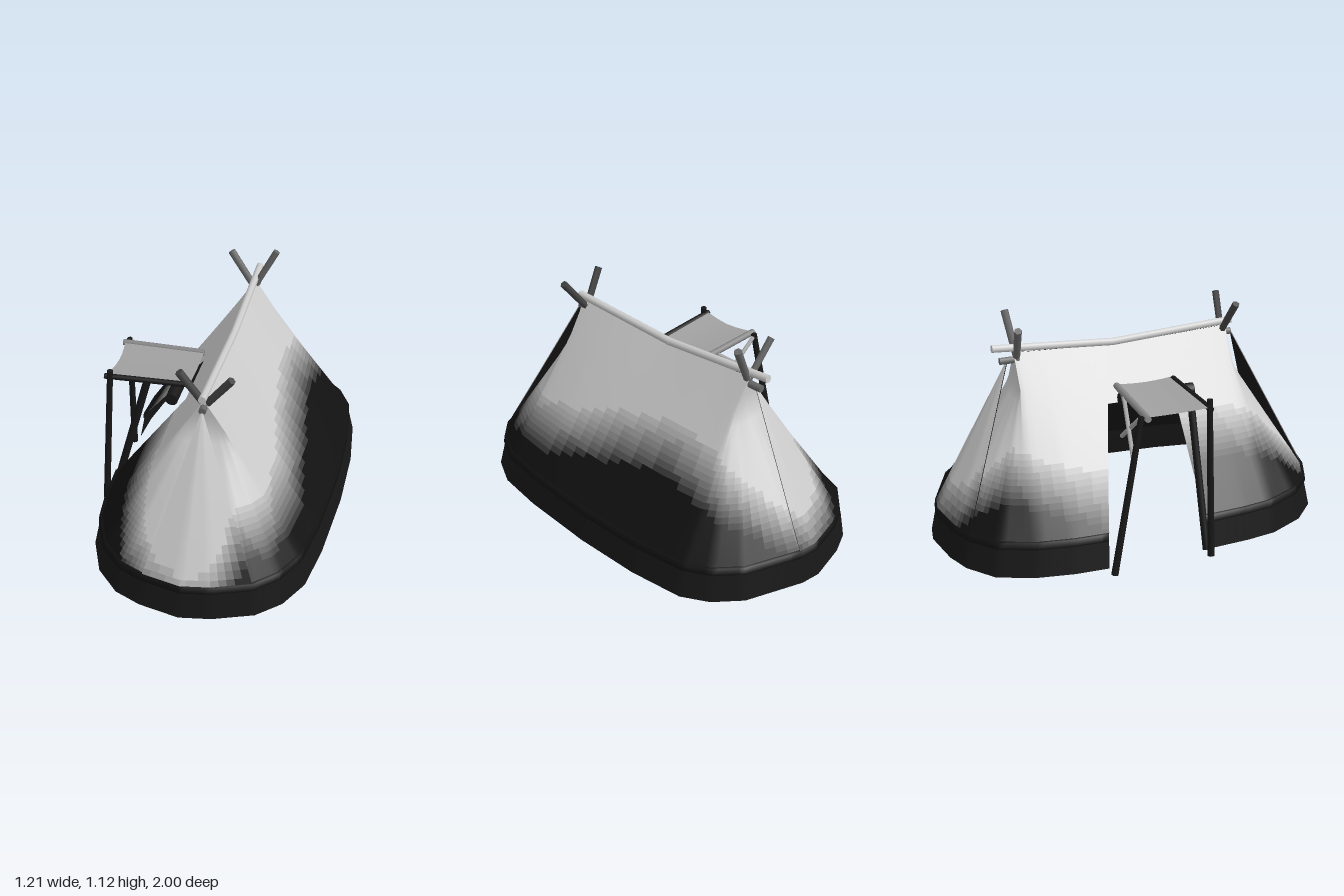
import * as THREE from 'three';

const LIGHT = 0xcccccc, MID = 0x686868, DARK = 0x171717, BLACK = 0x111111;
const material = (color) => new THREE.MeshStandardMaterial({ color, side: THREE.DoubleSide });

// Cloth shades from weathered dark to clean
const STEPS = 12;
const shades = Array.from({ length: STEPS }, (_, k) => material(
  new THREE.Color(BLACK).lerp(new THREE.Color(LIGHT), (k / (STEPS - 1)) ** 1.2)));
const lining = material(DARK);

// Ground outline of the cloth, from one side of the doorway round to the other:
// [x, z, height up to which the cloth is darkened]
const outline = [
  [-0.56, 0.23, 0.45], [-0.55, 0.45, 0.45], [-0.53, 0.6, 0.42], [-0.45, 0.78, 0.35], [-0.33, 0.9, 0.22],
  [-0.2, 0.955, 0.12], [0, 0.995, 0.05], [0.15, 0.97, 0.08], [0.34, 0.9, 0.32], [0.45, 0.8, 0.3],
  [0.53, 0.65, 0.32], [0.57, 0.4, 0.33], [0.6, 0, 0.44], [0.6, -0.35, 0.5], [0.57, -0.63, 0.45],
  [0.5, -0.76, 0.4], [0.38, -0.87, 0.36], [0.1, -0.985, 0.2], [0, -1, 0.15], [-0.2, -0.96, 0.2],
  [-0.32, -0.91, 0.3], [-0.45, -0.8, 0.38], [-0.52, -0.62, 0.35], [-0.55, -0.45, 0.3], [-0.56, -0.28, 0.25],
];
const RIDGE_X = 0.02, BAND_Y = 0.18, DOOR_Y = 0.68, PER_SIDE = 5;
const last = outline.length - 1;

// Column positions from one outline point to another
const levels = (from, to, n) => Array.from({ length: n + 1 }, (_, k) => from + ((to - from) * k) / n);
const columns = (from, to) => levels(from, to, (to - from) * PER_SIDE);

// Outline at a fractional position
function at(i) {
  const k = Math.min(Math.floor(i), last - 1);
  return outline[k].map((v, n) => v + (outline[k + 1][n] - v) * (i - k));
}

// Foot of the wall, at the top of the skirt
function wallFoot(i) {
  const [x, z] = at(i);
  return [x * 0.94, z * 0.965];
}

// Point on the cloth wall: straight in x, pulled in faster in z towards the ends
function wallPoint(i, y) {
  const [x, z] = wallFoot(i);
  const doorLean = 0.16 * Math.max(0, i - last + 1);
  const rz = THREE.MathUtils.clamp(z * 0.88, -0.55, 0.55) + doorLean;
  const top = 0.915 + 0.025 * Math.min(1, Math.abs(rz) / 0.55);
  const yy = Math.min(y, top);
  const fx = (yy - BAND_Y) / (top - BAND_Y);
  const fz = Math.abs(z) > 0.55 ? Math.min(1, (yy - BAND_Y) / 0.6) : fx;
  return [x + (RIDGE_X - x) * fx, yy, z + (rz - z) * fz];
}

// Lofted geometry through rows of points, cells grouped by shade
function loft(rows, shadeOf = () => 0) {
  const n = rows[0].length, buckets = shades.map(() => []);
  for (let r = 0; r < rows.length - 1; r++)
    for (let c = 0; c < n - 1; c++) {
      const a = r * n + c, b = a + 1, d = a + n, e = d + 1;
      buckets[shadeOf((rows[r][c][1] + rows[r + 1][c][1]) / 2, c)].push(a, b, e, a, e, d);
    }
  const g = new THREE.BufferGeometry();
  g.setAttribute('position', new THREE.Float32BufferAttribute(rows.flat(2), 3));
  g.setIndex(buckets.flat());
  let start = 0;
  buckets.forEach((list, k) => {
    if (list.length) g.addGroup(start, list.length, k);
    start += list.length;
  });
  g.computeVertexNormals();
  return g;
}

function mesh(name, geometry, mat) {
  const m = new THREE.Mesh(geometry, mat);
  m.name = name;
  return m;
}

// Cloth with a weathered outside and a dark lining set just inside it
function cloth(name, rows, cols) {
  const outside = loft(rows, (y, c) => {
    const stain = at((cols[c] + cols[c + 1]) / 2)[2];
    return Math.round(THREE.MathUtils.clamp((y - stain + 0.05) / 0.25, 0, 1) * (STEPS - 1));
  });
  const nor = outside.attributes.normal;
  const inside = loft(rows.map((row, r) => row.map(([x, y, z], c) => {
    const k = r * row.length + c;
    return [x - nor.getX(k) * 0.004, y - nor.getY(k) * 0.004, z - nor.getZ(k) * 0.004];
  }).reverse()));
  const group = new THREE.Group();
  group.name = name;
  group.add(mesh(name + 'Outside', outside, shades), mesh(name + 'Lining', inside, lining));
  return group;
}

// Round timber between two points
function pole(name, a, b, color, r0 = 0.018, r1 = r0, sides = 8) {
  const A = new THREE.Vector3(...a), B = new THREE.Vector3(...b);
  const dir = B.clone().sub(A);
  const m = mesh(name, new THREE.CylinderGeometry(r1, r0, dir.length(), sides), material(color));
  m.position.copy(A).add(B).multiplyScalar(0.5);
  m.quaternion.setFromUnitVectors(new THREE.Vector3(0, 1, 0), dir.normalize());
  return m;
}

export function createModel() {
  const tent = new THREE.Group();
  tent.name = 'tent';
  const cols = columns(0, last);

  // Cloth walls and the piece above the doorway
  const doorToRidge = [DOOR_Y, 0.73, 0.78, 0.86, 1];
  const ys = [...levels(BAND_Y, DOOR_Y, 20), ...doorToRidge.slice(1)];
  tent.add(cloth('clothWalls', ys.map((y) => cols.map((i) => wallPoint(i, y))), cols));
  tent.add(cloth('doorwayHeader', doorToRidge.map((y) => [wallPoint(last, y), wallPoint(0, y)]), [last, last]));

  // Straight flaps laid over both ends
  for (const [name, s, e, dir] of [['frontFlap', 5, 8, 1], ['backFlap', 17, 20, -1]]) {
    const apex = [RIDGE_X, 0.91, 0.58 * dir], span = columns(s, e);
    const rows = levels(0, 0.98, 20).map((t) => span.map((i) => {
      const [x, z] = wallFoot(i);
      return [x * 1.008, BAND_Y, z * 1.008].map((v, k) => v + (apex[k] - v) * t);
    }));
    tent.add(cloth(name, rows, span));
  }

  // Skirt and the band above it
  const foot = cols.map((i) => { const [x, z] = at(i); return [x, 0.022, z]; });
  tent.add(mesh('skirt', loft([foot, cols.map((i) => wallPoint(i, BAND_Y))]), material(DARK)));
  const bandProfile = [[0.155, 0], [0.155, 0.013], [0.19, 0.008], [0.19, -0.012]];
  const bandRows = bandProfile.map(([y, off]) => cols.map((i) => {
    const [x, z] = wallFoot(i), l = Math.hypot(x, z);
    return [x + (x / l) * off, y, z + (z / l) * off];
  }));
  tent.add(mesh('band', loft(bandRows), material(BLACK)));

  // Sagging ridge pole in two lengths
  tent.add(pole('ridgePoleFront', [RIDGE_X, 0.96, 0.58], [RIDGE_X, 0.925, -0.05], LIGHT, 0.019));
  tent.add(pole('ridgePoleBack', [RIDGE_X, 0.925, -0.05], [RIDGE_X, 0.968, -0.655], LIGHT, 0.019));

  // Crossed pole tips, lashing stub and inner post at each end
  const ends = [
    { base: 0.525, tip: 0.555, foot: 0.55, head: 0.51, left: [0.15, 1.07], right: [-0.09, 1.08], out: 0.58, color: 0x444444 },
    { base: -0.53, tip: -0.558, foot: -0.48, head: -0.48, left: [0.125, 1.115], right: [-0.11, 1.09], out: -0.62, color: MID },
  ];
  for (const e of ends) {
    tent.add(pole('crossedPoleLeft', [-0.01, 0.86, e.base], [...e.left, e.tip], e.color, 0.017, 0.019, 6));
    tent.add(pole('crossedPoleRight', [0.05, 0.86, e.base], [...e.right, e.tip], e.color, 0.017, 0.019, 6));
    tent.add(pole('lashingStub', [RIDGE_X, 0.9, e.base * 0.9], [RIDGE_X, 0.9, e.out], MID));
    tent.add(pole('innerPost', [0.01, 0, e.foot], [0.02, 0.9, e.head], DARK, 0.021, 0.015));
  }

  // Awning cloth, sagging between its rails
  const awning = new THREE.Group();
  awning.name = 'awning';
  const grid = levels(0, 1, 6);
  const rows = grid.map((u) => grid.map((v) => {
    const sag = Math.sin(Math.PI * v);
    return [-0.55 + 0.41 * u + sag * 0.015 * (1 - u), 0.768 - 0.01 * sag, -0.09 + 0.3 * v];
  }));
  awning.add(mesh('awningCloth', loft(rows), material(0xa0a0a0)));
  awning.add(pole('awningRailBack', [-0.56, 0.762, -0.09], [-0.14, 0.762, -0.09], 0x888888, 0.016));
  awning.add(pole('awningRailFront', [-0.56, 0.762, 0.22], [-0.15, 0.762, 0.2], DARK, 0.014));
  awning.add(pole('awningBeam', [-0.21, 0.718, -0.1], [-0.21, 0.718, 0.28], DARK, 0.031, 0.031, 12));

  // Awning posts and slanting strut
  awning.add(pole('awningPostFront', [-0.59, 0.003, 0.23], [-0.528, 0.8, 0.225], DARK, 0.018, 0.015));
  awning.add(pole('awningPostBack', [-0.59, 0.003, -0.265], [-0.535, 0.77, -0.115], DARK, 0.018, 0.015));
  awning.add(pole('awningStrut', [-0.555, 0.02, 0.22], [-0.35, 0.755, 0.205], DARK, 0.019));

  // Crossed braces below the back rail
  awning.add(pole('braceDown', [-0.525, 0.755, -0.12], [-0.27, 0.555, -0.11], 0xaaaaaa, 0.011, 0.011, 6));
  awning.add(pole('braceUp', [-0.53, 0.55, -0.15], [-0.27, 0.755, -0.1], 0xaaaaaa, 0.011, 0.011, 6));
  tent.add(awning);

  return tent;
}
